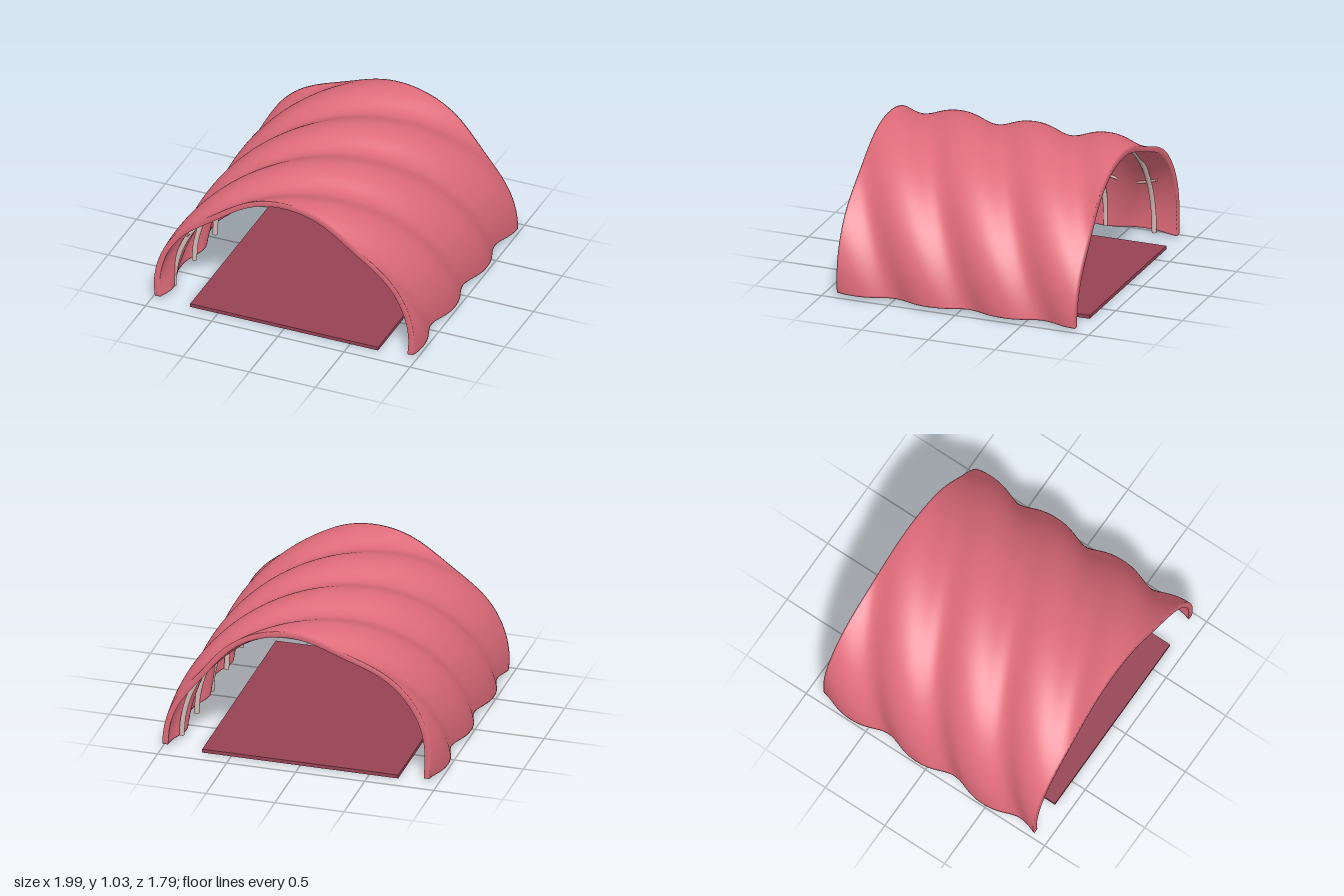
import * as THREE from 'three';

const BASE = 0.03;      // height of the canopy feet
const HALF = 0.895;     // half length along z

function material(name, color, side = THREE.FrontSide) {
  const m = new THREE.MeshStandardMaterial({ color, side });
  m.name = name;
  return m;
}

// Point on a half cylinder lying along z
const arcPoint = (r, a, z) => new THREE.Vector3(r * Math.cos(a), BASE + r * Math.sin(a), z);

// Outer radius with spiralling folds: broad ridges, narrower valleys
function foldRadius(a, z) {
  const p = (2 * Math.PI * (z - 0.2)) / 0.555 - 5 * a;
  return 0.97 + 0.03 * (Math.cos(p) - 0.12 * Math.cos(2 * p));
}

// Closed fabric shell: each angle has one loop of outer points, then inner points
function canopyGeometry() {
  const thick = 0.04, na = 96, nz = 72;
  const zs = [-HALF];
  for (let j = 0; j <= nz; j++) zs.push((HALF - 0.012) * (2 * j / nz - 1));
  zs.push(HALF);
  const rows = zs.length, ring = rows * 2;
  const pos = [], idx = [];
  const quad = (a, b, c, d) => idx.push(a, b, c, a, c, d);
  const angles = [0];
  for (let i = 0; i <= na; i++) angles.push(0.012 + (Math.PI - 0.024) * i / na);
  angles.push(Math.PI);
  for (const a of angles) {
    for (let k = 0; k < ring; k++) {
      const inner = k >= rows;
      const z = zs[inner ? ring - 1 - k : k];
      pos.push(...arcPoint(foldRadius(a, z) - (inner ? thick : 0), a, z).toArray());
    }
  }
  for (let i = 0; i < angles.length - 1; i++) {
    for (let k = 0; k < ring; k++) {
      const n = (k + 1) % ring, s = i * ring, t = s + ring;
      quad(s + k, t + k, t + n, s + n);
    }
  }
  // Foot edges
  const last = (angles.length - 1) * ring;
  for (let j = 0; j < rows - 1; j++) {
    const o0 = j, o1 = j + 1, i1 = ring - 2 - j, i0 = ring - 1 - j;
    quad(o0, o1, i1, i0);
    quad(last + i0, last + i1, last + o1, last + o0);
  }
  const g = new THREE.BufferGeometry();
  g.setAttribute('position', new THREE.Float32BufferAttribute(pos, 3));
  g.setIndex(idx);
  g.computeVertexNormals();
  return g;
}

function tube(points, radius, segments) {
  return new THREE.TubeGeometry(new THREE.CatmullRomCurve3(points), segments, radius, 10);
}

export function createModel() {
  const model = new THREE.Group();
  model.name = 'archedShelter';
  const fabric = material('rose fabric', 0xde6b7a);
  const floorMat = material('dark rose floor', 0x964355);
  const ribMat = material('pale frame', 0xd8bdb9, THREE.DoubleSide);
  const rodMat = material('pink rod', 0xcf9a9c, THREE.DoubleSide);

  const add = (name, geometry, mat, parent = model) => {
    const mesh = new THREE.Mesh(geometry, mat);
    mesh.name = name;
    parent.add(mesh);
    return mesh;
  };

  add('canopy', canopyGeometry(), fabric);

  // Floor slab
  add('floor', new THREE.BoxGeometry(1.42, 0.026, 1.78), floorMat).position.y = 0.013;

  const frame = new THREE.Group();
  frame.name = 'frame';
  model.add(frame);

  // Arched ribs
  for (let i = -2; i <= 2; i++) {
    const pts = [];
    for (let k = 0; k <= 24; k++) pts.push(arcPoint(0.908, Math.PI * k / 24, i * 0.36));
    add('rib', tube(pts, 0.018, 64), ribMat, frame);
  }

  // Gently waving rods that run lengthwise between the ribs
  for (let i = 1; i <= 5; i++) {
    const pts = [];
    for (let k = 0; k <= 24; k++) {
      const z = 0.78 * (k / 12 - 1);
      pts.push(arcPoint(0.915, Math.PI * i / 6 + 0.09 * Math.sin(6 * z + i), z));
    }
    add('rod', tube(pts, 0.01, 60), rodMat, frame);
  }
  return model;
}
